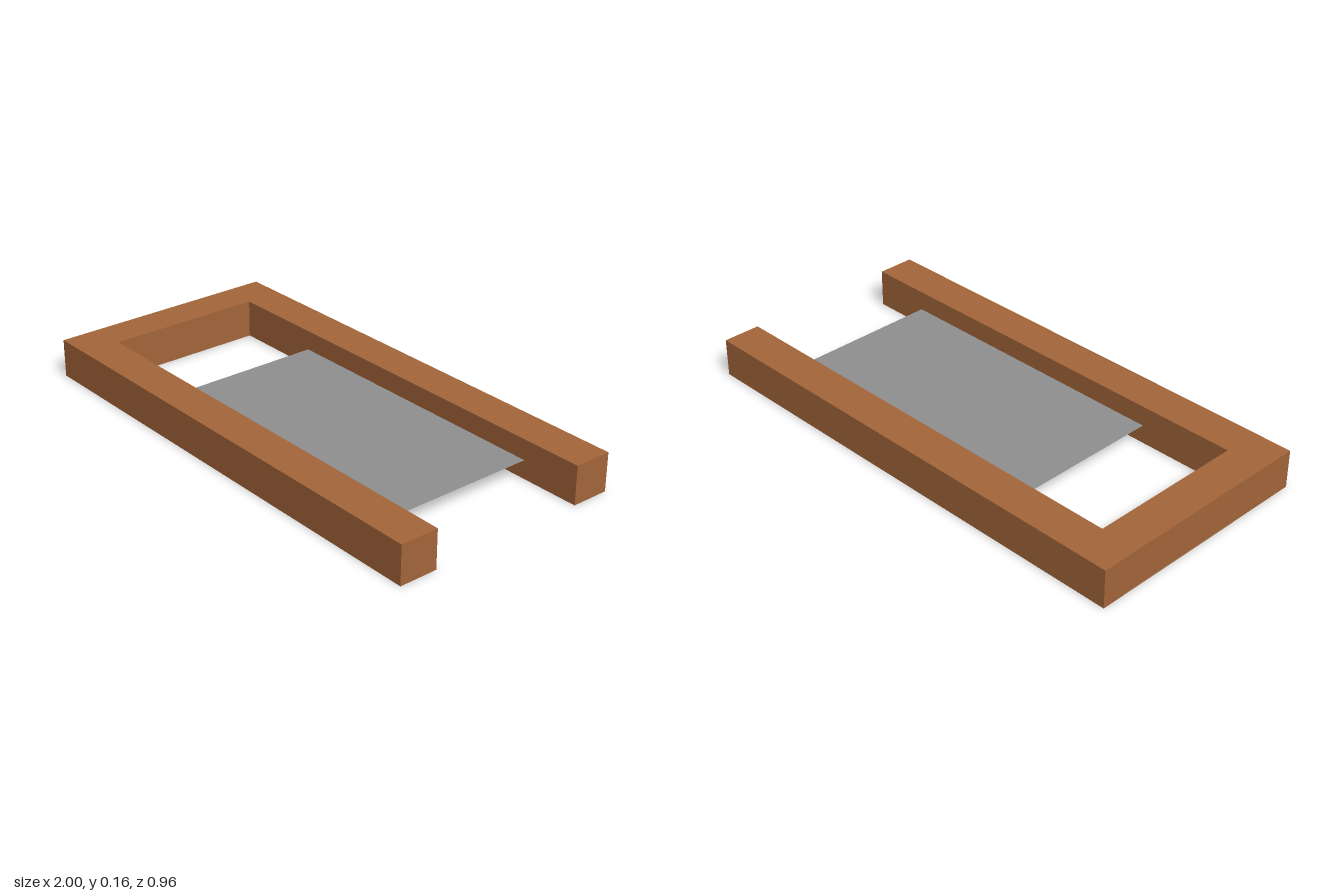
import * as THREE from 'three';

export function createModel() {
  const model = new THREE.Group();
  model.name = 'openFrame';

  const wood = new THREE.MeshStandardMaterial({ color: 0xa4663a });
  wood.name = 'brown wood';
  const grey = new THREE.MeshStandardMaterial({ color: 0x8f8f8f, side: THREE.DoubleSide });
  grey.name = 'grey panel';

  const beam = 0.155; // square beam section
  const halfDepth = 0.48;
  const innerHalf = halfDepth - beam;

  function addPart(name, geometry, material, x, y, z) {
    const mesh = new THREE.Mesh(geometry, material);
    mesh.name = name;
    mesh.position.set(x, y, z);
    model.add(mesh);
  }

  // Two long side rails
  for (const [name, side] of [['frontRail', 1], ['backRail', -1]]) {
    addPart(name, new THREE.BoxGeometry(2, beam, beam), wood, 0, beam / 2, side * (halfDepth - beam / 2));
  }

  // Cross beam closing one end
  addPart('endBeam', new THREE.BoxGeometry(beam, beam, innerHalf * 2), wood, -1 + beam / 2, beam / 2, 0);

  // Thin sheet held between the rails at mid height
  const sheet = new THREE.PlaneGeometry(1.21, innerHalf * 2).rotateX(-Math.PI / 2);
  addPart('panel', sheet, grey, 0.15, 0.074, 0);

  return model;
}
